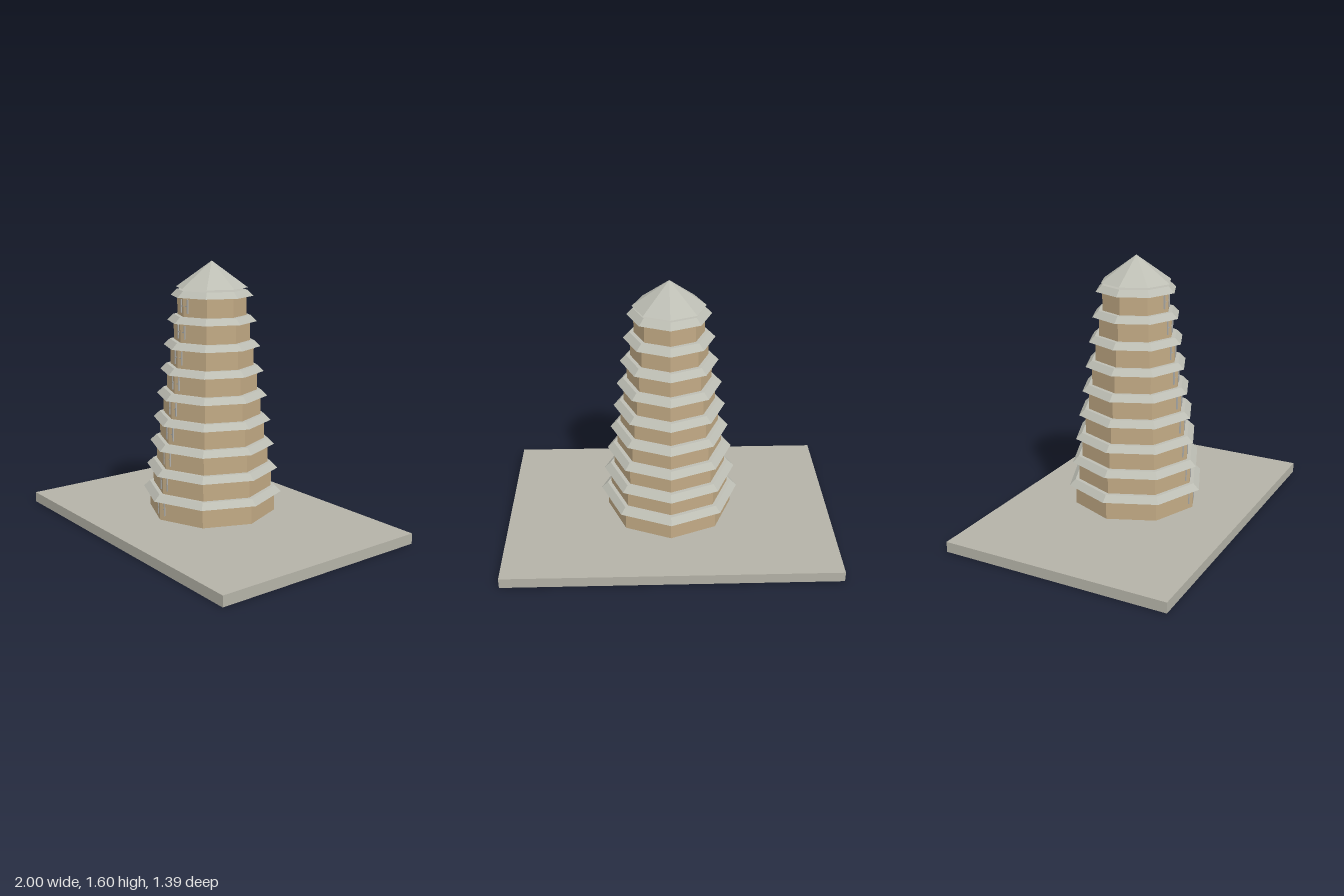
import * as THREE from 'three';

const TIERS = 9, PITCH = 0.148;

function material(name, color) {
  const m = new THREE.MeshStandardMaterial({ color, flatShading: true });
  m.name = name;
  return m;
}

export function createModel() {
  const paving = material('paving grey', 0xb4b2a7);
  const slate = material('eave grey', 0xbdbeb4);
  const brick = material('tan brick', 0xc2aa85);
  const lattice = material('lattice grey', 0xb0b0ac);

  const pagoda = new THREE.Group();
  pagoda.name = 'pagoda';

  function add(parent, name, geometry, mat, x, y, z) {
    const mesh = new THREE.Mesh(geometry, mat);
    mesh.name = name;
    mesh.position.set(x, y, z);
    parent.add(mesh);
    return mesh;
  }

  // Octagonal frustum with a corner facing the front, resting on y
  function octagon(parent, name, rTop, rBottom, h, mat, y) {
    return add(parent, name, new THREE.CylinderGeometry(rTop, rBottom, h, 8), mat, 0, y + h / 2, 0);
  }

  // Ground slab
  add(pagoda, 'groundSlab', new THREE.BoxGeometry(2, 0.063, 1.386), paving, 0, 0.0315, 0);

  // Tapering storeys, each with an eave and a window on the front corner
  for (let i = 0; i < TIERS; i++) {
    const r = 0.384 - 0.0223 * i;
    const y = 0.095 + PITCH * i;
    const storey = new THREE.Group();
    storey.name = `storey${i + 1}`;
    pagoda.add(storey);

    octagon(storey, 'walls', r, r, 0.12, brick, y);
    octagon(storey, 'eave', r + 0.002, r + 0.039, 0.036, slate, y + 0.119);

    // Window bars partly sunk into the corner
    const z = r * 0.978 - 0.004, yMid = y + 0.068;
    for (const side of [-1, 1]) {
      add(storey, 'windowPost', new THREE.BoxGeometry(0.007, 0.08, 0.008), lattice, side * 0.031, yMid, z);
    }
    add(storey, 'windowBar', new THREE.BoxGeometry(0.058, 0.006, 0.008), lattice, 0, yMid, z);
  }

  // Pointed roof
  const roof = new THREE.Mesh(new THREE.ConeGeometry(0.213, 0.153, 8), slate);
  roof.name = 'roof';
  roof.position.y = 1.447 + 0.153 / 2;
  pagoda.add(roof);

  return pagoda;
}
